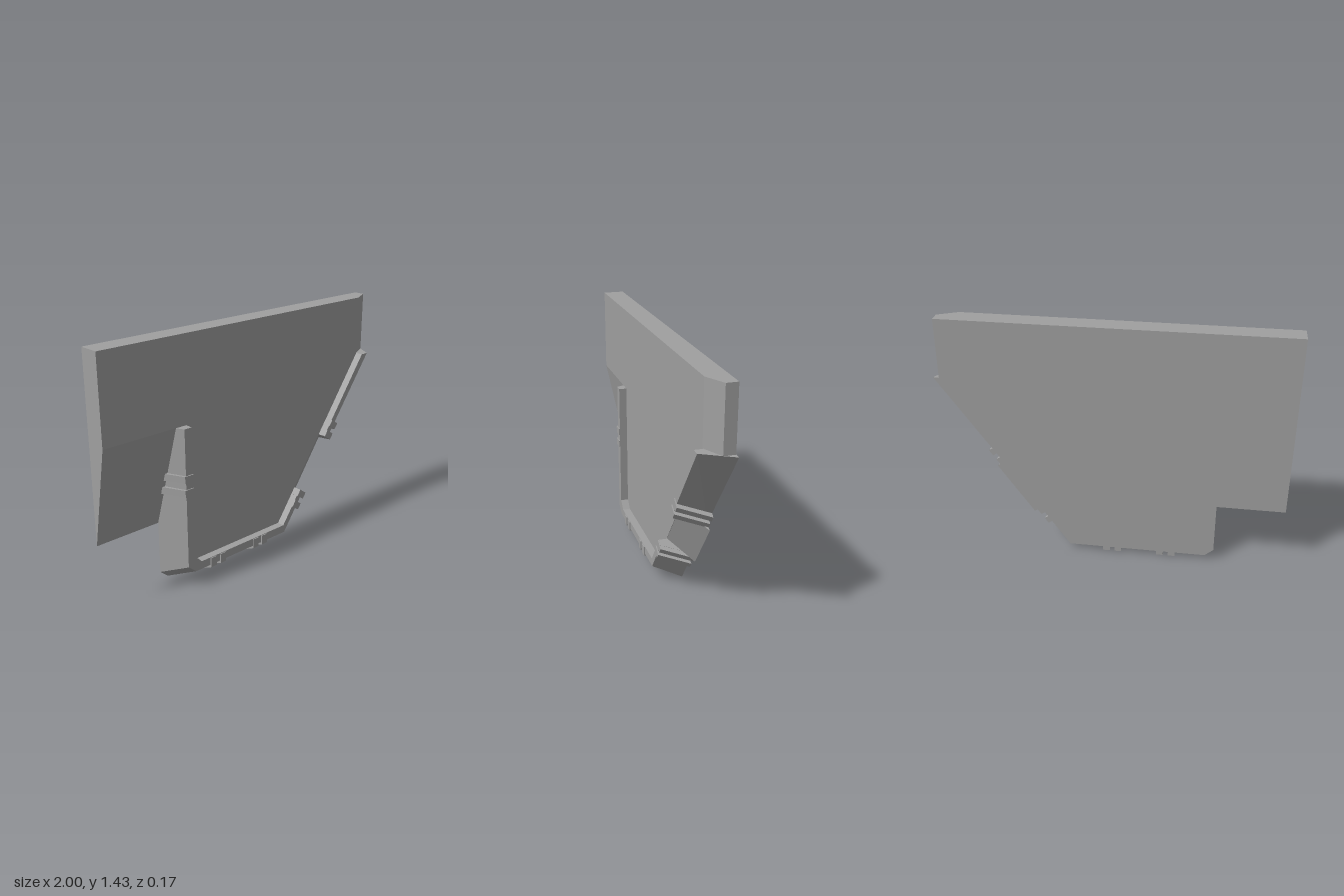
import * as THREE from 'three';
import { ConvexGeometry } from 'three/addons/geometries/ConvexGeometry.js';

const BACK = -0.085, PLATE = 0.035, RIM = 0.08, CLAMP = 0.086;
const TOP = 1.43, SHOULDER = 1.086;

export function createModel() {
  const group = new THREE.Group();
  const material = new THREE.MeshStandardMaterial({ color: 0xa0a0a0, flatShading: true });

  // Solid block spanned by its corner points
  const block = (name, corners) => {
    const mesh = new THREE.Mesh(
      new ConvexGeometry(corners.map((c) => new THREE.Vector3(...c))), material);
    mesh.name = name;
    group.add(mesh);
  };
  const slab = (name, outline) =>
    block(name, outline.flatMap(([x, y]) => [[x, y, BACK], [x, y, PLATE]]));

  // Upper panel with a bevelled right end
  const plan = [[-1, BACK], [-1, PLATE], [0.85, PLATE], [0.963, -0.022], [0.963, BACK]];
  block('upperPanel', plan.flatMap(([x, z]) => [[x, SHOULDER, z], [x, TOP, z]]));

  // Side panel, tapering to a thin lower edge
  slab('sidePanel', [[-1, 0.945], [-0.49, 0.945], [-0.49, SHOULDER], [-1, SHOULDER]]);
  block('sideTaper', [-1, -0.5].flatMap((x) =>
    [[x, 0.945, BACK], [x, 0.945, PLATE], [x, 0.377, BACK]]));

  // Panel enclosed by the rim
  slab('centrePanel', [
    [-0.49, SHOULDER], [-0.49, 0.19], [-0.445, 0.143], [0.193, 0.143], [0.855, SHOULDER]]);

  // Rim: each station is inner edge, front outer edge, back outer edge
  const station = ([inner, front, back]) => [
    [...inner, BACK], [...inner, RIM], [...front, RIM], [...back, BACK]];
  const runs = [
    [
      [[-0.49, 0.945], [-0.537, 0.945], [-0.61, 0.945]],
      [[-0.49, 0.19], [-0.537, 0.14], [-0.61, 0.07]],
      [[-0.445, 0.143], [-0.485, 0.096], [-0.56, 0.026]],
      [[0.193, 0.143], [0.2, 0.096], [0.25, 0.026]],
      [[0.33, 0.338], [0.357, 0.319], [0.423, 0.273]],
    ],
    [
      [[0.535, 0.631], [0.562, 0.612], [0.627, 0.566]],
      [[0.855, SHOULDER], [0.902, SHOULDER], [0.997, SHOULDER]],
    ],
  ];
  for (const run of runs) {
    for (let i = 0; i + 1 < run.length; i++) {
      block('rim', [...station(run[i]), ...station(run[i + 1])]);
    }
  }

  // Shallow ramp in the gap of the rim, its upper end tucked under the rim
  block('ramp', [
    [0.325, 0.335, BACK], [0.325, 0.335, PLATE], [0.46, 0.244, BACK],
    [0.541, 0.645, BACK], [0.541, 0.645, PLATE], [0.667, 0.543, BACK]]);

  // Clamp strips wrapped over the rim: start point, direction along the rim,
  // outward direction, and distances along the rim
  const edges = [
    { start: [0, 0.14], along: [1, 0], out: [0, -1], at: [-0.362, -0.292, -0.039, 0.029] },
    { start: [-0.49, 0], along: [0, 1], out: [-1, 0], at: [0.585, 0.664] },
    { start: [0.193, 0.143], along: [0.573, 0.82], out: [0.82, -0.573], at: [0.145, 0.217, 0.616, 0.686] },
  ];
  const section = [[0, BACK], [0, CLAMP], [0.057, CLAMP], [0.14, BACK]];
  for (const { start, along, out, at } of edges) {
    for (const s of at) {
      block('clamp', [s - 0.02, s + 0.02].flatMap((d) => section.map(([n, z]) => [
        start[0] + along[0] * d + out[0] * n,
        start[1] + along[1] * d + out[1] * n, z])));
    }
  }
  return group;
}
